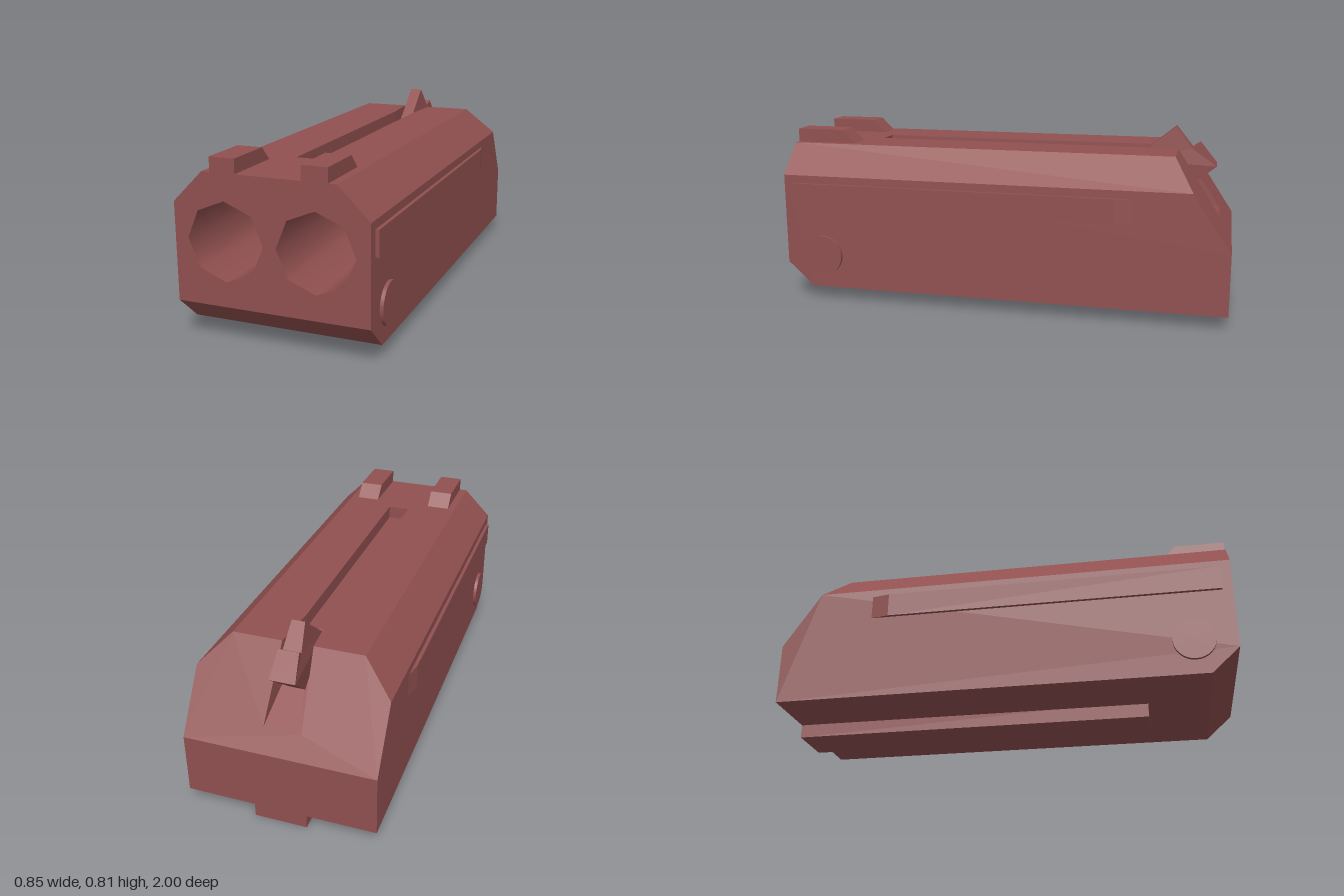
import * as THREE from 'three';

const V = (x, y, z) => new THREE.Vector3(x, y, z);

// Flat polygons (outline, rough outward direction, holes) joined into one faceted geometry
function polyhedron(faces) {
  const pos = [];
  for (const [outline, dir, holes = []] of faces) {
    const n = V(...dir).normalize();
    const u = V(0, 0, 0).crossVectors(Math.abs(n.y) > 0.9 ? V(1, 0, 0) : V(0, 1, 0), n).normalize();
    const v = V(0, 0, 0).crossVectors(n, u);
    const flat = (loop) => loop.map((p) => new THREE.Vector2(p.dot(u), p.dot(v)));
    const pts = [outline, ...holes].flat();
    for (const t of THREE.ShapeUtils.triangulateShape(flat(outline), holes.map(flat))) {
      const [a, b, c] = t.map((i) => pts[i]);
      const facing = b.clone().sub(a).cross(c.clone().sub(a)).dot(n);
      for (const p of facing > 0 ? [a, b, c] : [a, c, b]) pos.push(p.x, p.y, p.z);
    }
  }
  const g = new THREE.BufferGeometry();
  g.setAttribute('position', new THREE.Float32BufferAttribute(pos, 3));
  g.computeVertexNormals();
  return g;
}

// Side profile in [z, y], extruded across x and centred
function prism(profile, width) {
  const shape = new THREE.Shape(profile.map(([z, y]) => new THREE.Vector2(z, y)));
  const g = new THREE.ExtrudeGeometry(shape, { depth: width, bevelEnabled: false });
  return g.translate(0, 0, -width / 2).rotateY(-Math.PI / 2);
}

export function createModel() {
  const group = new THREE.Group();
  const mat = new THREE.MeshStandardMaterial({ color: 0x915050 });
  const inner = mat.clone();
  inner.side = THREE.DoubleSide;
  const add = (name, geo, material = mat) => {
    const m = new THREE.Mesh(geo, material);
    m.name = name;
    group.add(m);
    return m;
  };

  // Main dimensions
  const W = 0.41, T = 0.28, top = 0.71, shoulder = 0.58, base = 0.06;
  const boreR = 0.163, boreX = 0.19, boreY = 0.437, boreDepth = 0.8;
  const backZ = (y) => -0.75 - (0.25 * (top - y)) / 0.38;
  const slotW = (z) => 0.05 + (0.03 * (-0.53 - z)) / 0.41;
  const both = (f) => [f(1), f(-1)];
  // Outline from its +x half, closed by the mirrored half
  const sym = (half) => [...half, ...half.map((p) => V(-p.x, p.y, p.z)).reverse()];
  const boreLoop = (s) => Array.from({ length: 8 }, (_, i) => {
    const a = (i * Math.PI) / 4;
    return V(s * boreX + boreR * Math.cos(a), boreY + boreR * Math.sin(a), 1);
  });

  // Body shell, with bore openings, top groove and tapered rear slot
  const sw = slotW(-0.75), gr = 0.05, floor = 0.65, slotBack = V(0.08, 0.42, backZ(0.42));
  add('body', polyhedron([
    [sym([V(W, 0.17, 1), V(W, shoulder, 1), V(T, top, 1)]), [0, 0, 1], both(boreLoop)],
    [sym([V(W, 0.17, 1), V(W, base, 0.88)]), [0, -1, 1]],
    [sym([V(W, base, 0.88), V(W, base, -1)]), [0, -1, 0]],
    [sym([V(W, base, -1), V(W, 0.33, -1)]), [0, 0, -1]],
    [sym([V(W, 0.33, -1), V(W, shoulder, backZ(shoulder)), V(T, top, -0.75), V(sw, top, -0.75), slotBack]),
      [0, 0.25, -0.38]],
    [sym([V(T, top, 1), V(T, top, -0.75), V(sw, top, -0.75), V(gr, top, -0.53), V(gr, top, 0.65)]), [0, 1, 0]],
    ...both((s) => [[V(s * W, 0.17, 1), V(s * W, shoulder, 1), V(s * W, shoulder, backZ(shoulder)),
      V(s * W, 0.33, -1), V(s * W, base, -1), V(s * W, base, 0.88)], [s, 0, 0]]),
    ...both((s) => [[V(s * W, shoulder, 1), V(s * T, top, 1), V(s * T, top, -0.75),
      V(s * W, shoulder, backZ(shoulder))], [s, 1, 0]]),
    // groove floor, front end and walls
    [sym([V(gr, floor, 0.65), V(gr, floor, -0.53)]), [0, 1, 0]],
    [sym([V(gr, floor, 0.65), V(gr, top, 0.65)]), [0, 0, -1]],
    ...both((s) => [[V(s * gr, floor, 0.65), V(s * gr, top, 0.65), V(s * gr, top, -0.53),
      V(s * gr, floor, -0.53)], [-s, 0, 0]]),
    // slot ramp and walls
    [sym([V(gr, floor, -0.53), slotBack]), [0, 1, -0.5]],
    ...both((s) => [[V(s * 0.08, 0.42, slotBack.z), V(s * sw, top, -0.75), V(s * gr, top, -0.53),
      V(s * gr, floor, -0.53)], [-s, 0, 0]]),
  ]));

  // Twin bores
  for (const s of [1, -1]) {
    const tube = new THREE.CylinderGeometry(boreR, boreR, boreDepth, 8, 1, true).rotateX(Math.PI / 2);
    add('bore', tube, inner).position.set(s * boreX, boreY, 1 - boreDepth / 2);
    add('boreEnd', new THREE.CircleGeometry(boreR, 8)).position.set(s * boreX, boreY, 1 - boreDepth);
  }

  // Rear lever, widening toward the back
  const lever = prism([[-0.54, 0.645], [-0.735, 0.805], [-0.81, 0.71], [-0.843, 0.732],
    [-0.92, 0.635], [-0.77, 0.51]], 2);
  const p = lever.attributes.position;
  for (let i = 0; i < p.count; i++) {
    const k = Math.max(0, (-0.735 - p.getZ(i)) / 0.185);
    p.setX(i, p.getX(i) * (0.028 + 0.027 * k));
  }
  lever.computeVertexNormals();
  add('rearLever', lever);

  // Bottom rail
  add('bottomRail', new THREE.BoxGeometry(0.226, 0.08, 1.61)).position.set(0, 0.04, -0.195);

  // Front sight blocks, side strips and pivot discs, mirrored
  const stripPlan = new THREE.Shape([[0.4, 0.955], [0.4, -0.59], [0.41, -0.59], [0.425, -0.51], [0.425, 0.955]]
    .map(([x, z]) => new THREE.Vector2(x, z)));
  const strip = new THREE.ExtrudeGeometry(stripPlan, { depth: 0.107, bevelEnabled: false })
    .rotateX(Math.PI / 2).translate(0, 0.545, 0);
  const block = prism([[1, 0.7], [1, 0.77], [0.78, 0.77], [0.72, 0.71], [0.72, 0.7]], 0.108);
  const disc = new THREE.CylinderGeometry(0.09, 0.09, 0.03, 32).rotateZ(Math.PI / 2);
  for (const s of [1, -1]) {
    add('sideStrip', strip).scale.x = s;
    add('sightBlock', block).position.x = s * 0.191;
    add('pivotDisc', disc).position.set(s * 0.41, 0.213, 0.82);
  }
  return group;
}
